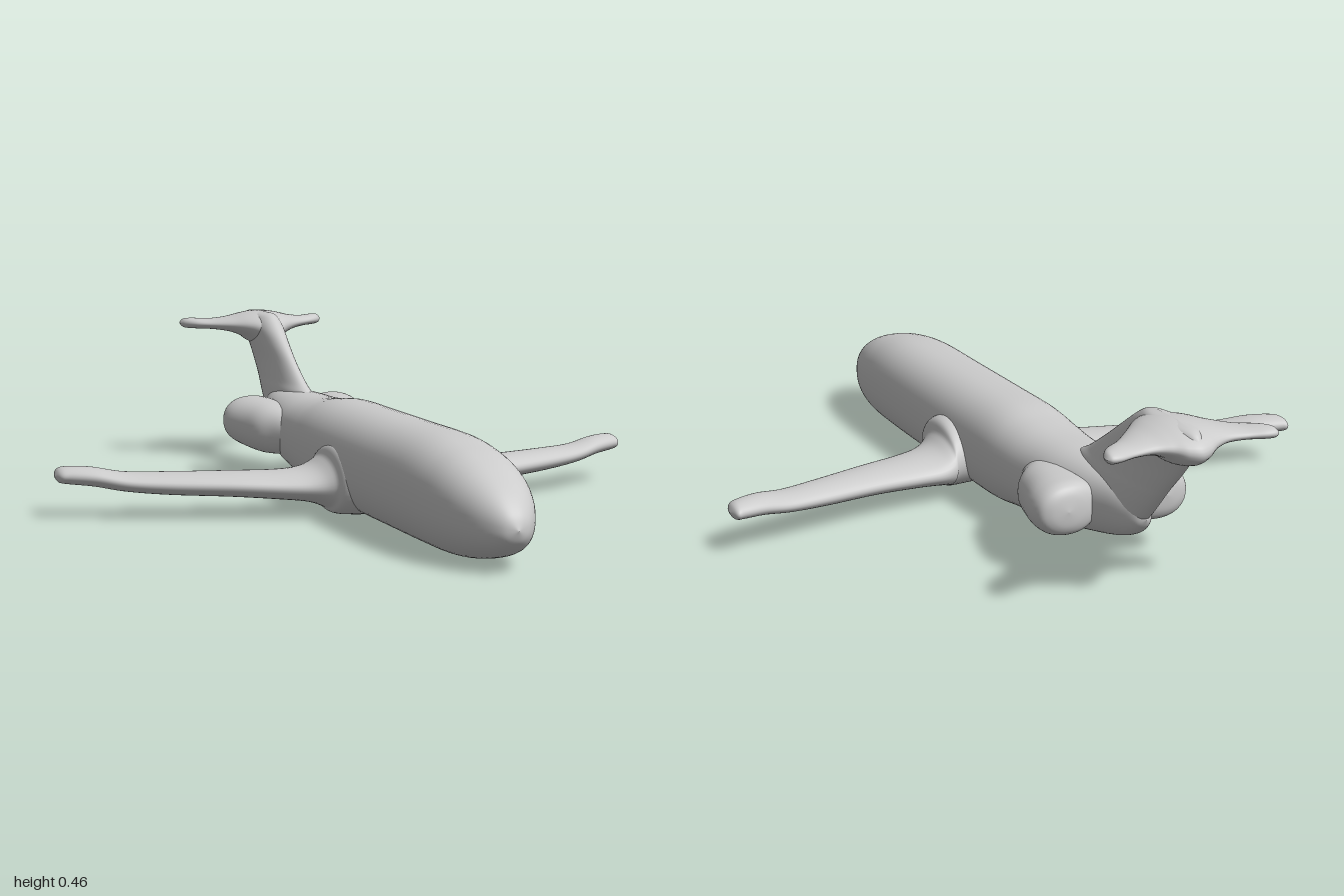
import * as THREE from 'three';

const material = new THREE.MeshStandardMaterial({ color: 0xcccccc });
const CX = -0.01; // the body sits slightly off the centre line

// Each axis of travel with its two cross-section directions (u x v = travel)
const FRAMES = {
  x: { u: 'y', v: 'z' },
  y: { u: 'z', v: 'x' },
  z: { u: 'x', v: 'y' },
};

const catmull = (a, b, c, d, t) => 0.5 * (2 * b + (c - a) * t
  + (2 * a - 5 * b + 4 * c - d) * t * t + (3 * b - a - 3 * c + d) * t * t * t);

// Smooth loft. Station: [position, uMin, uMax, vMin, vMax]; power 2 is an ellipse
function loft(name, axis, stations, { power = 2, sides = 40, steps = 8 } = {}) {
  const { u, v } = FRAMES[axis];
  const n = stations.length;
  const at = (i) => stations[Math.min(Math.max(i, 0), n - 1)];
  const rows = (n - 1) * steps;
  const positions = [];
  const index = [];
  const bend = (s) => Math.sign(s) * Math.abs(s) ** (2 / power);
  for (let r = 0; r <= rows; r++) {
    const i = Math.min(Math.floor(r / steps), n - 2);
    const t = r / steps - i;
    const [p, u0, u1, v0, v1] = at(i).map((_, k) =>
      catmull(at(i - 1)[k], at(i)[k], at(i + 1)[k], at(i + 2)[k], t));
    for (let j = 0; j < sides; j++) {
      const a = (j / sides) * Math.PI * 2;
      const point = { [axis]: p };
      point[u] = (u0 + u1) / 2 + Math.max(u1 - u0, 0) / 2 * bend(Math.cos(a));
      point[v] = (v0 + v1) / 2 + Math.max(v1 - v0, 0) / 2 * bend(Math.sin(a));
      positions.push(point.x, point.y, point.z);
      if (r < rows) {
        const k = r * sides + j;
        const m = r * sides + (j + 1) % sides;
        index.push(k, m, k + sides, m, m + sides, k + sides);
      }
    }
  }
  const geometry = new THREE.BufferGeometry();
  geometry.setAttribute('position', new THREE.Float32BufferAttribute(positions, 3));
  geometry.setIndex(index);
  geometry.computeVertexNormals();
  const mesh = new THREE.Mesh(geometry, material);
  mesh.name = name;
  return mesh;
}

// Mirrors half-span stations (root first) into a tip-to-tip surface
function span(name, half, shift, options) {
  const left = half.map(([x, ...rest]) => [x + shift, ...rest]);
  const right = half.slice(1).reverse().map(([x, ...rest]) => [-x + shift, ...rest]);
  return loft(name, 'x', [...right, ...left], options);
}

export function createModel() {
  const model = new THREE.Group();
  model.name = 'airplane';

  // Fuselage, tail to nose: [z, half width, bottom, top]
  const body = [
    [-0.75, 0, 0.17, 0.17], [-0.735, 0.022, 0.145, 0.2], [-0.7, 0.04, 0.118, 0.23],
    [-0.64, 0.062, 0.095, 0.25], [-0.55, 0.09, 0.075, 0.257], [-0.42, 0.112, 0.05, 0.26],
    [-0.3, 0.122, 0.032, 0.262], [-0.2, 0.13, 0.02, 0.27], [-0.08, 0.136, 0.004, 0.283],
    [0.1, 0.137, 0.002, 0.284], [0.35, 0.137, 0.002, 0.284], [0.6, 0.135, 0.002, 0.284],
    [0.74, 0.126, 0.004, 0.268], [0.83, 0.112, 0.014, 0.245], [0.9, 0.09, 0.03, 0.215],
    [0.95, 0.064, 0.05, 0.183], [0.985, 0.034, 0.078, 0.146], [1, 0, 0.11, 0.11],
  ].map(([z, w, y0, y1]) => [z, CX - w, CX + w, y0, y1]);
  model.add(loft('fuselage', 'z', body, { power: 2.3, sides: 56 }));

  // Swept wings flaring into the body: [x, bottom, top, rear z, front z]
  model.add(span('wings', [
    [0, 0.004, 0.2, 0.02, 0.28], [0.13, 0.008, 0.195, 0.0, 0.26],
    [0.16, 0.024, 0.155, -0.02, 0.215], [0.2, 0.037, 0.13, -0.03, 0.185],
    [0.27, 0.045, 0.122, -0.033, 0.155], [0.4, 0.055, 0.122, -0.05, 0.108],
    [0.55, 0.062, 0.122, -0.08, 0.052], [0.66, 0.072, 0.124, -0.105, 0.01],
    [0.74, 0.086, 0.137, -0.126, -0.025], [0.8, 0.092, 0.139, -0.142, -0.053],
    [0.825, 0.097, 0.133, -0.145, -0.068], [0.836, 0.115, 0.115, -0.11, -0.1],
  ], 0));

  // Engine nacelles: [z, inner x, outer x, bottom, top]
  for (const side of [1, -1]) {
    const stations = [
      [-0.62, 0.14, 0.14, 0.17, 0.17], [-0.612, 0.085, 0.185, 0.125, 0.215],
      [-0.59, 0.045, 0.21, 0.1, 0.235], [-0.54, 0.03, 0.212, 0.092, 0.238],
      [-0.46, 0.03, 0.19, 0.085, 0.234], [-0.4, 0.03, 0.172, 0.088, 0.226],
      [-0.35, 0.03, 0.14, 0.095, 0.215], [-0.29, 0.05, 0.105, 0.12, 0.19],
    ].map(([z, a, b, y0, y1]) => {
      const xs = [a * side - 0.006, b * side - 0.006].sort((p, q) => p - q);
      return [z, ...xs, y0, y1];
    });
    model.add(loft(side > 0 ? 'leftEngine' : 'rightEngine', 'z', stations, { power: 2.2 }));
  }

  // Swept tail fin: [y, rear z, front z, half thickness]
  const fin = [
    [0.135, -0.7, -0.5, 0.025], [0.17, -0.745, -0.44, 0.044], [0.21, -0.785, -0.4, 0.047],
    [0.25, -0.822, -0.41, 0.044], [0.28, -0.85, -0.465, 0.039], [0.33, -0.9, -0.545, 0.036],
    [0.38, -0.945, -0.62, 0.04], [0.42, -0.98, -0.68, 0.045], [0.445, -0.975, -0.72, 0.04],
    [0.459, -0.95, -0.75, 0.028], [0.465, -0.88, -0.79, 0],
  ].map(([y, z0, z1, w]) => [y, z0, z1, CX - w, CX + w]);
  model.add(loft('tailFin', 'y', fin));

  // Tailplane on top of the fin: [x, bottom, top, rear z, front z]
  model.add(span('tailplane', [
    [0, 0.36, 0.465, -1, -0.72], [0.03, 0.368, 0.463, -0.99, -0.735],
    [0.06, 0.388, 0.457, -0.97, -0.765], [0.1, 0.402, 0.447, -0.955, -0.81],
    [0.15, 0.408, 0.44, -0.958, -0.86], [0.195, 0.409, 0.441, -0.972, -0.895],
    [0.22, 0.412, 0.438, -0.972, -0.925], [0.231, 0.425, 0.425, -0.96, -0.95],
  ], CX));

  return model;
}
